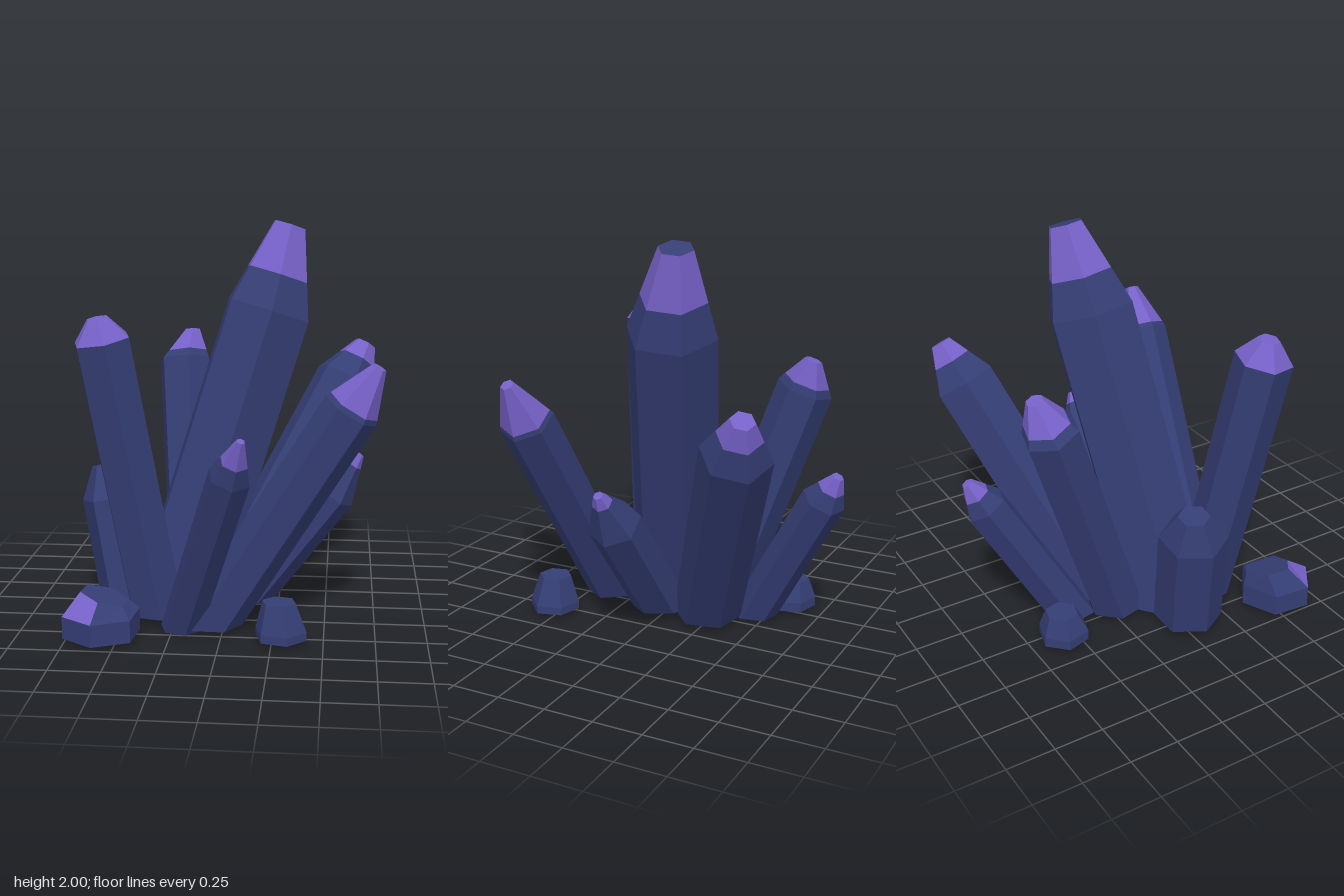
import * as THREE from 'three';

const SIDES = 6;
const UP = new THREE.Vector3(0, 1, 0);
const stoneBlue = new THREE.MeshStandardMaterial({ color: 0x353e75 });
stoneBlue.name = 'stoneBlue';
const tipPurple = new THREE.MeshStandardMaterial({ color: 0x7661c8 });
tipPurple.name = 'tipPurple';

// Six-sided ring of points around a centre, square to the given axis
function ring(center, axis, radius, phase) {
  const q = new THREE.Quaternion().setFromUnitVectors(UP, axis);
  return Array.from({ length: SIDES }, (_, i) => {
    const a = THREE.MathUtils.degToRad(phase) + (i / SIDES) * Math.PI * 2;
    return new THREE.Vector3(Math.cos(a) * radius, 0, Math.sin(a) * radius).applyQuaternion(q).add(center);
  });
}

// Faceted mesh from a list of triangle corners
function facets(name, corners, material) {
  const geo = new THREE.BufferGeometry().setFromPoints(corners);
  geo.computeVertexNormals();
  const mesh = new THREE.Mesh(geo, material);
  mesh.name = name;
  return mesh;
}

function side(lo, hi, i) {
  const j = (i + 1) % SIDES;
  return [lo[i], hi[i], lo[j], hi[i], hi[j], lo[j]];
}

function cap(points, up) {
  const c = points.reduce((s, p) => s.add(p), new THREE.Vector3()).divideScalar(SIDES);
  return points.flatMap((p, i) => {
    const n = points[(i + 1) % SIDES];
    return up ? [c, n, p] : [c, p, n];
  });
}

// Prism cut off at the ground, narrowing from its shoulder to a blunt tip.
// paint: where purple starts between shoulder and tip (1 = none)
// face: the single tip face that is purple
// rise: slope of the ground cut towards +x; topSlope: fall of the top towards +x
function prism(name, base, shoulder, tip, r, rTip, options) {
  const { paint = 0, face, phase = 15, blueTop, purpleBase, rise = 0, topSlope } = options;
  const axis = shoulder.clone().sub(base).normalize();
  const topAxis = topSlope ? new THREE.Vector3(topSlope, 1, 0).normalize() : axis;
  const cut = new THREE.Vector3(-rise, 1, 0);
  const shoulderRing = ring(shoulder, axis, r, phase);
  const tipRing = ring(tip, topAxis, rTip, phase);
  const baseRing = ring(base, axis, r, phase)
    .map((p) => p.addScaledVector(axis, base.clone().sub(p).dot(cut) / axis.dot(cut)));
  const paintRing = shoulderRing.map((p, i) => p.clone().lerp(tipRing[i], paint));
  const blue = [], purple = [];
  for (let i = 0; i < SIDES; i++) {
    blue.push(...side(baseRing, shoulderRing, i));
    if (paint > 0) blue.push(...side(shoulderRing, paintRing, i));
    if (paint < 1) (face === undefined || face === i ? purple : blue).push(...side(paintRing, tipRing, i));
  }
  (blueTop || paint === 1 ? blue : purple).push(...cap(tipRing, true));
  (purpleBase ? purple : blue).push(...cap(baseRing, false));
  const group = new THREE.Group();
  group.name = name;
  group.add(facets(name + 'Body', blue, stoneBlue));
  if (purple.length) group.add(facets(name + 'Tip', purple, tipPurple));
  return group;
}

// Leaning crystal: the shoulder lies near the line from base to tip, moved by bend in x and z
function crystal(name, base, tip, r, rTip, shoulderAt, { bend = [0, 0], ...options } = {}) {
  const foot = new THREE.Vector3(...base);
  const end = new THREE.Vector3(...tip);
  const shoulder = foot.clone().lerp(end, shoulderAt).add(new THREE.Vector3(bend[0], 0, bend[1]));
  return prism(name, foot, shoulder, end, r, rTip, options);
}

// Upright chunk on the ground, with its small top shifted aside
function chunk(name, [x, z], height, shoulderY, r, [dx, dz], options) {
  const base = new THREE.Vector3(x, 0.02, z);
  const shoulder = new THREE.Vector3(x, shoulderY, z);
  return prism(name, base, shoulder, new THREE.Vector3(x + dx, height, z + dz), r, r * 0.65, options);
}

export function createModel() {
  const model = new THREE.Group();
  model.name = 'crystalCluster';
  // Tall crystals
  model.add(
    crystal('mainCrystal', [-0.28, 0.02, 0.09], [0.29, 1.972, -0.18], 0.235, 0.09, 0.78,
      { paint: 0.42, blueTop: true, phase: 22, bend: [0.02, 0.015] }),
    crystal('leftTallCrystal', [-0.35, 0.03, 0.24], [-0.6, 1.55, 0.42], 0.146, 0.055, 0.93),
    crystal('backLeftCrystal', [-0.21, 0.02, -0.2], [-0.275, 1.372, -0.67], 0.145, 0.045, 0.88,
      { paint: 0.25, bend: [-0.045, 0] }),
    crystal('backRightCrystal', [0, 0.02, -0.22], [0.695, 1.3, -0.71], 0.175, 0.06, 0.85, { paint: 0.55 }),
    crystal('frontRightCrystal', [-0.07, 0.02, 0.37], [0.745, 1.34, 0.485], 0.14, 0.035, 0.84,
      { phase: 0, paint: 0.1, purpleBase: true }),
  );
  // Short crystals
  model.add(
    crystal('frontCrystal', [-0.21, 0, 0.39], [0.13, 1.065, 0.918], 0.103, 0.02, 0.82, { paint: 0.42, bend: [0, -0.02] }),
    crystal('rightCrystal', [0.05, 0.03, 0.02], [0.665, 0.83, 0.045], 0.137, 0.025, 0.76,
      { paint: 0.75, phase: 0, purpleBase: true, rise: 0.15 }),
    crystal('backCrystal', [-0.13, 0.01, -0.43], [-0.005, 0.872, -0.915], 0.112, 0.03, 0.84, { paint: 0.5 }),
    crystal('leftShortCrystal', [-0.5, 0.03, 0.06], [-0.65, 0.735, -0.02], 0.175, 0.08, 0.78,
      { paint: 1, phase: 0, bend: [0.015, 0.015] }),
  );
  // Loose chunks on the ground
  model.add(
    chunk('frontLeftChunk', [-0.58, 0.565], 0.2, 0.13, 0.195, [0.01, -0.05],
      { face: 1, phase: 35, blueTop: true, topSlope: 0.3 }),
    chunk('frontRightChunk', [0.295, 0.535], 0.2, 0.06, 0.13, [-0.01, 0], { paint: 1 }),
    chunk('backChunk', [-0.31, -0.57], 0.17, 0.07, 0.13, [0, -0.01], { paint: 1 }),
  );
  return model;
}
